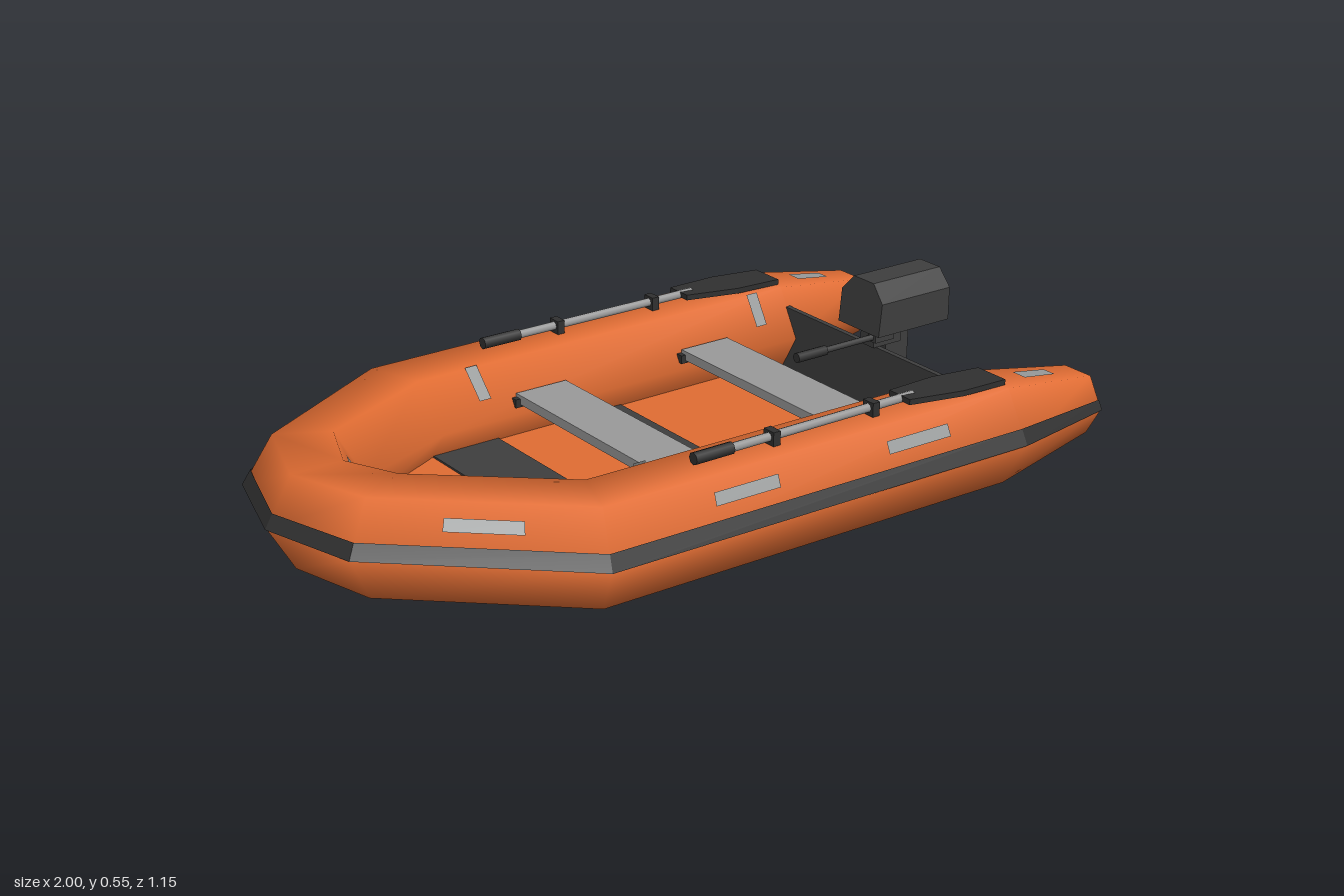
import * as THREE from 'three';

const mat = (name, color) => {
  const m = new THREE.MeshStandardMaterial({ color, side: THREE.DoubleSide });
  m.name = name;
  return m;
};

export function createModel() {
  const orange = mat('orange rubber', 0xe06c32);
  const dark = mat('dark grey', 0x3e3e3e);
  const black = mat('black trim', 0x303030);
  const grey = mat('light grey', 0x999999);
  const patchGrey = mat('patch grey', 0x979a9a);
  const boat = new THREE.Group();
  boat.name = 'inflatableBoat';

  const add = (name, geo, material, x = 0, y = 0, z = 0, parent = boat) => {
    const m = new THREE.Mesh(geo, material);
    m.name = name;
    m.position.set(x, y, z);
    parent.add(m);
    return m;
  };
  const box = (name, material, sx, sy, sz, x, y, z, parent) =>
    add(name, new THREE.BoxGeometry(sx, sy, sz), material, x, y, z, parent);
  const rod = (name, material, r, x0, x1, y, z, parent, r1 = r) =>
    add(name, new THREE.CylinderGeometry(r1, r, x1 - x0, 8).rotateZ(-Math.PI / 2),
      material, (x0 + x1) / 2, y, z, parent);

  // Surface through rows of points
  const loft = (rows) => {
    const n = rows[0].length, pos = rows.flat().flatMap(p => [p.x, p.y, p.z]), idx = [];
    for (let i = 0; i < rows.length - 1; i++) {
      for (let k = 0; k < n - 1; k++) {
        const a = i * n + k, b = a + n;
        idx.push(a, a + 1, b, b, a + 1, b + 1);
      }
    }
    const g = new THREE.BufferGeometry();
    g.setAttribute('position', new THREE.Float32BufferAttribute(pos, 3));
    g.setIndex(idx);
    g.computeVertexNormals();
    return g;
  };

  // Hull tube stations: x, y, z, radius, outward direction x, z
  const half = [
    [1, 0.30, 0.43, 0.086, 0, 1],
    [0.70, 0.30, 0.43, 0.14, 0, 1],
    [-0.43, 0.30, 0.418, 0.146, -0.34, 0.94],
    [-0.81, 0.332, 0.175, 0.137, -0.88, 0.475],
  ];
  const stations = [...half, [-0.87, 0.332, 0, 0.13, -1, 0],
    ...half.map(([x, y, z, r, ox, oz]) => [x, y, -z, r, ox, -oz]).reverse()];
  const ringPoint = (i, k, lift = 0) => {
    const [x, y, z, r, ox, oz] = stations[i];
    const a = k * Math.PI / 3, h = (r + lift) * Math.cos(a);
    const v = Math.min(r, 0.14) + lift;
    return new THREE.Vector3(x + ox * h, y + v * Math.sin(a), z + oz * h);
  };
  const rings = stations.map((s, i) => [0, 1, 2, 3, 4, 5].map(k => ringPoint(i, k)));

  // Six-sided tube with the seam indices shared for smooth shading
  const tube = new THREE.BufferGeometry();
  const tubeIndex = [];
  for (let i = 0; i < rings.length - 1; i++) {
    for (let k = 0; k < 6; k++) {
      const a = i * 6 + k, b = i * 6 + (k + 1) % 6;
      tubeIndex.push(a, a + 6, b, b, a + 6, b + 6);
    }
  }
  tube.setAttribute('position',
    new THREE.Float32BufferAttribute(rings.flat().flatMap(p => p.toArray()), 3));
  tube.setIndex(tubeIndex);
  tube.computeVertexNormals();
  add('hullTube', tube, orange);
  for (const s of [1, -1]) {
    add('tubeEndCap', new THREE.CircleGeometry(0.086, 6).rotateY(Math.PI / 2), dark, 1, 0.30, s * 0.43);
  }

  // Thin plate lying on one face of the tube
  const facePoint = (seg, side, u, v, lift) => {
    const edge = j => ringPoint(j, side, lift).lerp(ringPoint(j, side + 1, lift), v);
    return edge(seg).lerp(edge(seg + 1), u);
  };
  const plate = (name, material, seg, side, u0, u1, v0, v1, lift = 0.005) =>
    add(name, loft([u0, u1].map(u => [v0, v1].map(v => facePoint(seg, side, u, v, lift)))), material);
  for (let seg = 0; seg < 8; seg++) plate('rubStrake', black, seg, 0, 0, 1, 0, 0.29, 0.004);
  const patches = [
    ['sternPatch', 0, 1, 0.33, 0.67, 0.33, 0.67],
    ['sidePatch', 1, 0, 0.18, 0.337, 0.51, 0.72],
    ['sidePatch', 1, 0, 0.605, 0.756, 0.51, 0.72],
    ['bowSidePatch', 2, 0, 0.33, 0.66, 0.51, 0.72],
    ['innerPatch', 1, 2, 0.075, 0.105, 0, 0.6],
    ['innerPatch', 1, 2, 0.855, 0.885, 0, 0.6],
    ['bowPatch', 3, 2, 0.6, 1, 0.2, 0.75],
  ];
  for (const [name, seg, side, u0, u1, v0, v1] of patches) {
    plate(name, patchGrey, seg, side, u0, u1, v0, v1);
    plate(name, patchGrey, 7 - seg, side, 1 - u1, 1 - u0, v0, v1);
  }

  // Floor deck and dark bottom: x, half width, bottom y, top y
  const floor = [
    [-0.805, 0.03, 0.215, 0.25], [-0.75, 0.145, 0.215, 0.25], [-0.405, 0.36, 0.19, 0.23],
    [0.53, 0.365, 0.195, 0.23], [0.705, 0.365, 0.182, 0.19],
  ];
  const floorSheet = col => {
    const g = loft(floor.map(s => [1, -1].map(d => new THREE.Vector3(s[0], s[col], d * s[1])))).toNonIndexed();
    g.computeVertexNormals();
    return g;
  };
  add('floorDeck', floorSheet(3), orange);
  add('hullBottom', floorSheet(2), dark);
  for (const [x0, x1] of [[-0.39, -0.205], [-0.015, 0.16]]) {
    box('floorPanel', dark, x1 - x0, 0.008, 0.64, (x0 + x1) / 2, 0.231, 0);
  }
  box('transom', dark, 0.014, 0.195, 0.71, 0.705, 0.278, 0);

  // Bench seats with end brackets
  for (const x of [-0.088, 0.41]) {
    box('seat', grey, 0.145, 0.024, 0.61, x, 0.335, 0);
    for (const s of [1, -1]) box('seatBracket', black, 0.17, 0.022, 0.02, x, 0.327, s * 0.297);
  }

  // Oars lying on the tubes
  const bladeShape = new THREE.Shape([[0.42, 0.036], [0.57, 0.055], [0.71, 0.047],
    [0.71, -0.047], [0.57, -0.055], [0.42, -0.036]].map(p => new THREE.Vector2(...p)));
  for (const s of [1, -1]) {
    const oar = new THREE.Group();
    oar.name = 'oar';
    boat.add(oar);
    oar.position.z = s * 0.43;
    rod('oarGrip', black, 0.015, -0.175, -0.07, 0.44, 0, oar);
    rod('oarShaft', grey, 0.011, -0.07, 0.46, 0.44, 0, oar);
    for (const x of [0.045, 0.335]) box('oarClip', black, 0.02, 0.035, 0.036, x, 0.438, 0, oar);
    const blade = new THREE.ExtrudeGeometry(bladeShape, { depth: 0.014, bevelEnabled: false });
    blade.rotateX(-Math.PI / 2);
    const p = blade.attributes.position;
    for (let i = 0; i < p.count; i++) p.setY(i, p.getY(i) + 0.435 - 0.05 * (p.getX(i) - 0.42));
    blade.computeVertexNormals();
    add('oarBlade', blade, black, 0, 0, 0, oar);
  }

  // Outboard motor
  const motor = new THREE.Group();
  motor.name = 'outboardMotor';
  boat.add(motor);
  const cowlShape = new THREE.Shape([[-0.077, 0.425], [0.077, 0.425], [0.077, 0.51],
    [0.037, 0.553], [-0.037, 0.553], [-0.077, 0.51]].map(p => new THREE.Vector2(...p)));
  const cowl = new THREE.ExtrudeGeometry(cowlShape, { depth: 0.23, bevelEnabled: false });
  cowl.rotateY(Math.PI / 2).translate(0.66, 0, 0);
  const cp = cowl.attributes.position;
  for (let i = 0; i < cp.count; i++) {
    if (cp.getX(i) < 0.7) cp.setX(i, 0.66 + (cp.getY(i) - 0.425) * 0.1);
  }
  cowl.computeVertexNormals();
  add('cowl', cowl, dark, 0, 0, 0, motor);
  box('clampBracket', dark, 0.05, 0.145, 0.084, 0.735, 0.268, 0, motor);
  box('clampTop', dark, 0.09, 0.04, 0.05, 0.735, 0.395, 0, motor);
  const legShape = new THREE.Shape([[0.735, 0.43], [0.815, 0.43], [0.81, 0.08], [0.765, 0.08]]
    .map(p => new THREE.Vector2(...p)));
  const finShape = new THREE.Shape([[0.745, 0.085], [0.82, 0.085], [0.812, 0], [0.79, 0.006]]
    .map(p => new THREE.Vector2(...p)));
  const slab = (shape, depth) =>
    new THREE.ExtrudeGeometry(shape, { depth, bevelEnabled: false }).translate(0, 0, -depth / 2);
  add('leg', slab(legShape, 0.027), dark, 0, 0, 0, motor);
  add('skeg', slab(finShape, 0.01), dark, 0, 0, 0, motor);
  rod('gearCase', dark, 0.016, 0.742, 0.81, 0.093, 0, motor, 0.024);
  rod('propellerHub', orange, 0.021, 0.81, 0.832, 0.093, 0, motor, 0.012);

  // Three twisted propeller blades
  const propShape = new THREE.Shape([[-0.008, 0.015], [0.008, 0.015], [0.02, 0.07], [0, 0.077],
    [-0.02, 0.07]].map(p => new THREE.Vector2(...p)));
  for (let i = 0; i < 3; i++) {
    const b = slab(propShape, 0.004).rotateY(Math.PI / 2 + 0.35).rotateX(Math.PI / 2 + i * Math.PI * 2 / 3);
    add('propellerBlade', b, grey, 0.822, 0.093, 0, motor);
  }

  // Tiller
  rod('tillerArm', dark, 0.008, 0.5, 0.68, 0.413, 0.04, motor);
  rod('tillerGrip', black, 0.013, 0.43, 0.52, 0.413, 0.04, motor);
  box('tillerMount', dark, 0.06, 0.03, 0.03, 0.7, 0.416, 0.04, motor);
  return boat;
}
